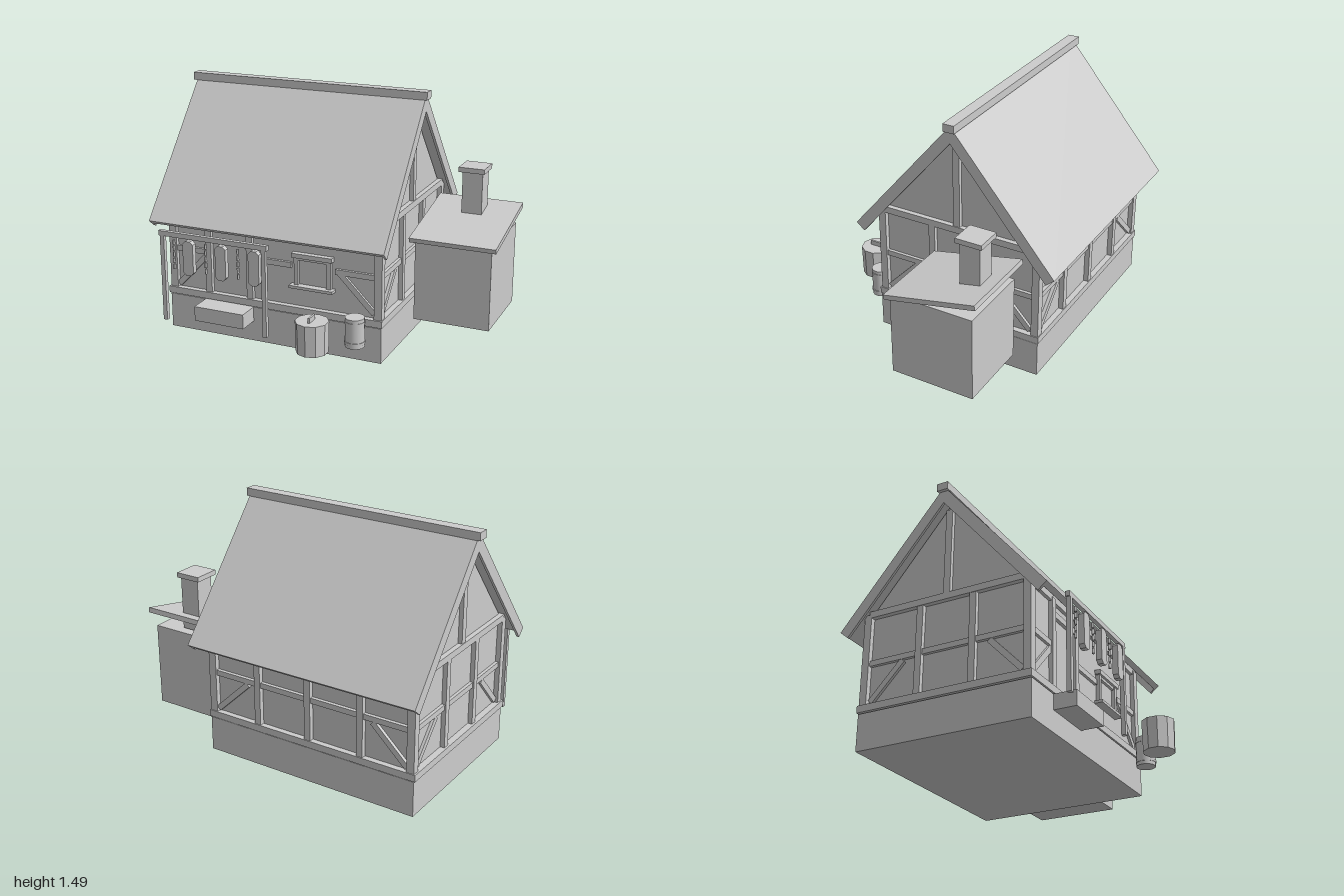
import * as THREE from 'three';

export function createModel() {
  const model = new THREE.Group();
  model.name = 'cottage';
  const grey = new THREE.MeshStandardMaterial({ color: 0xcccccc });
  grey.name = 'paleGrey';

  const add = (geo, name, parent = model) => {
    const m = new THREE.Mesh(geo, grey);
    m.name = name;
    parent.add(m);
    return m;
  };
  // box given by its minimum and maximum on each axis
  const box = (name, x0, x1, y0, y1, z0, z1, parent) => {
    const g = new THREE.BoxGeometry(x1 - x0, y1 - y0, z1 - z0);
    g.translate((x0 + x1) / 2, (y0 + y1) / 2, (z0 + z1) / 2);
    return add(g, name, parent);
  };
  // outline in (z, y) extruded along x
  const slabX = (name, pts, x0, x1) => {
    const shape = new THREE.Shape(pts.map(p => new THREE.Vector2(...p)));
    const g = new THREE.ExtrudeGeometry(shape, { depth: x1 - x0, bevelEnabled: false });
    g.rotateY(-Math.PI / 2).translate(x1, 0, 0);
    return add(g, name);
  };
  const newGroup = (name) => {
    const g = new THREE.Group();
    g.name = name;
    model.add(g);
    return g;
  };

  // Stone base and sill ring
  const CX = -0.23, CZ = -0.11;
  box('stoneBase', -0.92, 0.46, 0, 0.215, -0.64, 0.42);
  box('sillBeam', -0.93, 0.465, 0.22, 0.262, -0.645, 0.425);

  // Plaster walls with gables
  slabX('plasterWalls', [[-0.61, 0.21], [0.39, 0.21], [0.39, 0.815], [CZ, 1.41], [-0.61, 0.815]], -0.89, 0.43);

  // Corner posts and top plates
  for (const [x0, x1] of [[-0.92, -0.872], [0.412, 0.46]]) {
    for (const [z0, z1] of [[-0.64, -0.595], [0.37, 0.415]]) box('cornerPost', x0, x1, 0.26, 0.795, z0, z1);
    box('gableTie', x0, x1, 0.79, 0.83, -0.61, 0.39);
    box('kingPost', x0 + 0.005, x1 - 0.005, 0.83, 1.36, CZ - 0.021, CZ + 0.021);
  }
  box('frontPlate', -0.92, 0.46, 0.77, 0.81, 0.37, 0.41);
  box('backPlate', -0.92, 0.46, 0.77, 0.81, -0.635, -0.595);

  // Timber frame of one wall, drawn in the plane facing local +z
  const frame = (name, x, z, turn, posts, rails, braces) => {
    const g = newGroup(name);
    g.position.set(x, 0, z);
    g.rotation.y = turn;
    for (const u of posts) box('post', u - 0.02, u + 0.02, 0.26, 0.79, -0.025, 0.02, g);
    for (const [a, b] of rails) box('rail', a, b, 0.495, 0.528, -0.025, 0.012, g);
    for (const [u0, v0, u1, v1] of braces) {
      const len = Math.hypot(u1 - u0, v1 - v0);
      const m = add(new THREE.BoxGeometry(len, 0.034, 0.03), 'brace', g);
      m.position.set((u0 + u1) / 2, (v0 + v1) / 2, -0.005);
      m.rotation.z = Math.atan2(v1 - v0, u1 - u0);
    }
  };
  const sideBraces = [[-0.47, 0.28, -0.27, 0.49], [0.47, 0.28, 0.27, 0.49]];
  frame('frontFrame', CX, 0.395, 0, [-0.425, -0.15],
    [[-0.65, -0.42], [-0.15, 0.12], [0.40, 0.65]],
    [[-0.64, 0.28, -0.43, 0.5], [0.64, 0.29, 0.42, 0.51]]);
  frame('backFrame', CX, -0.62, Math.PI, [-0.345, 0, 0.345], [[-0.65, 0.65]],
    [[-0.64, 0.28, -0.42, 0.49], [0.64, 0.28, 0.42, 0.49]]);
  frame('rightFrame', 0.437, CZ, Math.PI / 2, [-0.165, 0.17], [[-0.49, 0.49]], sideBraces);
  frame('leftFrame', -0.897, CZ, -Math.PI / 2, [-0.165, 0.17], [[-0.49, 0.49]], sideBraces);

  // Main roof: thin slabs, deeper barge boards at the ends, ridge cap
  const APEX = 1.475, EAVE = 0.707, RUN = 0.647;
  const chevron = (t) => {
    const ang = Math.atan2(APEX - EAVE, RUN);
    const dz = t * Math.sin(ang), dy = t * Math.cos(ang), drop = t / Math.cos(ang);
    return [[CZ, APEX], [CZ - RUN, EAVE], [CZ - RUN + dz, EAVE - dy], [CZ, APEX - drop],
      [CZ + RUN - dz, EAVE - dy], [CZ + RUN, EAVE]];
  };
  slabX('roofSlabs', chevron(0.033), -0.964, 0.499);
  slabX('leftBargeBoard', chevron(0.067), -0.98, -0.964);
  slabX('rightBargeBoard', chevron(0.067), 0.499, 0.515);
  box('ridgeCap', -1, 0.53, 1.443, 1.49, CZ - 0.035, CZ + 0.035);

  // Door lintel and step
  box('doorLintel', -0.64, -0.40, 0.685, 0.72, 0.37, 0.41);
  box('doorStep', -0.68, -0.355, 0.125, 0.215, 0.41, 0.555);

  // Window frame
  const win = newGroup('window');
  box('windowLintel', -0.10, 0.155, 0.567, 0.594, 0.38, 0.425, win);
  box('windowSill', -0.11, 0.165, 0.383, 0.40, 0.38, 0.44, win);
  for (const x of [-0.075, 0.13]) box('windowJamb', x - 0.013, x + 0.013, 0.40, 0.567, 0.38, 0.415, win);
  box('windowHead', -0.065, 0.12, 0.55, 0.567, 0.38, 0.41, win);
  box('windowPane', -0.065, 0.12, 0.40, 0.55, 0.385, 0.394, win);

  // Side annex with lean-to roof and chimney
  box('annex', 0.505, 0.97, 0.125, 0.638, -0.51, 0.005);
  slabX('annexRoof', [[0.03, 0.64], [0.022, 0.612], [-0.545, 0.73], [-0.54, 0.76]], 0.473, 1);
  box('chimney', 0.675, 0.80, 0.645, 0.98, -0.46, -0.335);
  box('chimneyCap', 0.655, 0.815, 0.973, 1.003, -0.477, -0.315);

  // Drying rack with hanging meat and strings of sausages
  const rack = newGroup('dryingRack');
  const RZ = 0.598;
  for (const x of [-0.848, -0.185]) box('rackPost', x - 0.013, x + 0.013, 0.125, 0.66, RZ - 0.013, RZ + 0.013, rack);
  box('rackBar', -0.87, -0.163, 0.655, 0.685, RZ - 0.013, RZ + 0.013, rack);
  const w = 0.034, h = 0.105, c = 0.018;
  const meat = new THREE.Shape([[-w + c, -h], [w - c, -h], [w, -h + c], [w, h - c], [w - c, h], [-w + c, h], [-w, h - c], [-w, -h + c]]
    .map(p => new THREE.Vector2(...p)));
  const meatGeo = new THREE.ExtrudeGeometry(meat, { depth: 0.034, bevelEnabled: false }).translate(0, 0, -0.017);
  const linkGeo = new THREE.CylinderGeometry(0.008, 0.008, 0.03, 6);
  for (let i = 0; i < 3; i++) {
    add(meatGeo, 'hangingMeat', rack).position.set(-0.674 + i * 0.214, 0.538, RZ);
    for (let j = 0; j < 5; j++) add(linkGeo, 'sausageLink', rack).position.set(-0.775 + i * 0.211, 0.47 + j * 0.038, RZ);
  }

  // Chopping block with a blade stuck in it
  const block = add(new THREE.CylinderGeometry(0.097, 0.093, 0.185, 10).toNonIndexed(), 'choppingBlock');
  block.geometry.computeVertexNormals();
  block.position.set(0.143, 0.218, 0.667);
  box('blade', 0.137, 0.149, 0.30, 0.34, 0.637, 0.71);

  // Barrel with hoops
  const barrel = newGroup('barrel');
  barrel.position.set(0.335, 0.215, 0.507);
  add(new THREE.CylinderGeometry(0.057, 0.057, 0.176, 16), 'barrelBody', barrel);
  for (const y of [-0.06, 0.06]) add(new THREE.CylinderGeometry(0.06, 0.06, 0.014, 16), 'barrelHoop', barrel).position.y = y;

  return model;
}
